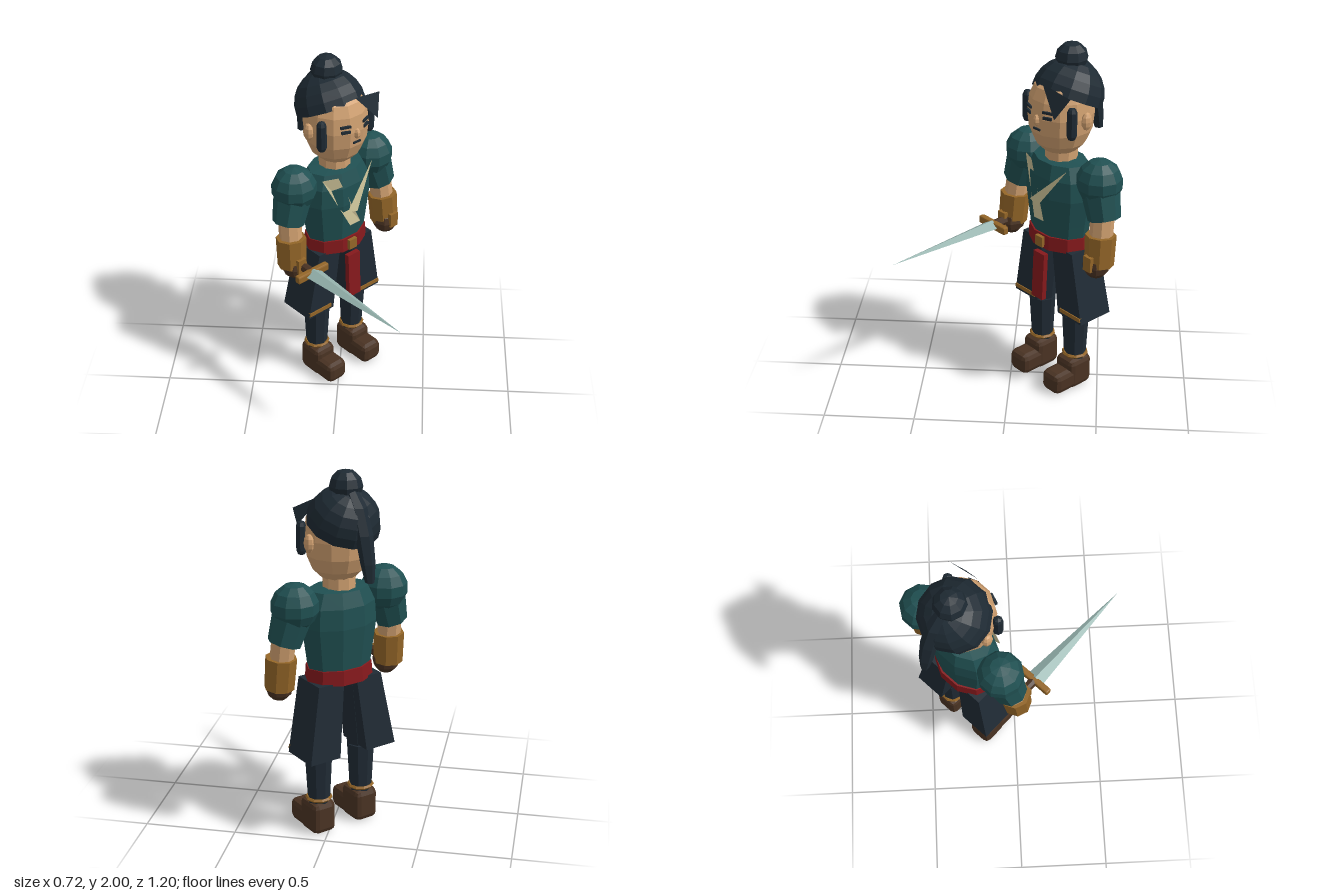
import * as THREE from 'three';
import { RoundedBoxGeometry } from 'three/addons/geometries/RoundedBoxGeometry.js';

const mat = (name, color, side = THREE.FrontSide) => {
  const m = new THREE.MeshStandardMaterial({ color, side });
  m.name = name;
  return m;
};

export function createModel() {
  const teal = mat('teal cloth', 0x205052), navy = mat('navy cloth', 0x202b35), hair = mat('dark hair', 0x1e2a33);
  const skin = mat('skin', 0xd0a070), gold = mat('bronze', 0x946628), brown = mat('brown leather', 0x4a3323);
  const red = mat('red cloth', 0x86191c), steel = mat('blade steel', 0x95b2ad);
  const cream = mat('cream trim', 0xcac096, THREE.DoubleSide);

  const model = new THREE.Group();
  const body = new THREE.Group();
  body.name = 'figure';
  body.position.set(-0.046, 0, -0.279);
  body.rotation.y = Math.PI / 4;
  model.add(body);

  // Faceted mesh at a position
  const add = (name, geo, material, x = 0, y = 0, z = 0) => {
    const g = geo.index ? geo.toNonIndexed() : geo;
    g.computeVertexNormals();
    const mesh = new THREE.Mesh(g, material);
    mesh.name = name;
    mesh.position.set(x, y, z);
    body.add(mesh);
    return mesh;
  };
  const box = (name, m, w, h, d, x, y, z) => add(name, new THREE.BoxGeometry(w, h, d), m, x, y, z);
  const ball = (name, m, r, x, y, z, sx = 1, sy = 1, sz = 1, n = 10, rings = 7) =>
    add(name, new THREE.SphereGeometry(r, n, rings).scale(sx, sy, sz), m, x, y, z);

  // Tapered cylinder from a (lower end) to b (upper end)
  const limb = (name, m, a, b, ra, rb, n = 8) => {
    const A = new THREE.Vector3(...a), B = new THREE.Vector3(...b);
    const d = B.clone().sub(A);
    const mesh = add(name, new THREE.CylinderGeometry(rb, ra, d.length(), n), m);
    mesh.position.copy(A).addScaledVector(d, 0.5);
    mesh.quaternion.setFromUnitVectors(new THREE.Vector3(0, 1, 0), d.normalize());
    return mesh;
  };

  // Box with different bottom and top rectangles [inner x, outer x, back z, front z], mirrored by s
  const flared = (name, m, s, y0, y1, lo, hi) => {
    const g = new THREE.BoxGeometry(1, 1, 1);
    const p = g.attributes.position;
    for (let i = 0; i < p.count; i++) {
      const r = p.getY(i) < 0 ? lo : hi;
      const outer = p.getX(i) * s > 0;
      p.setXYZ(i, s * r[outer ? 1 : 0], p.getY(i) < 0 ? y0 : y1, r[p.getZ(i) > 0 ? 3 : 2]);
    }
    return add(name, g, m);
  };
  const lathe = (name, m, pts, n, x, y, z, sz = 1) =>
    add(name, new THREE.LatheGeometry(pts.map(p => new THREE.Vector2(...p)), n).rotateY(Math.PI / n).scale(1, 1, sz), m, x, y, z);
  const plate = (name, m, pts) => {
    const v = [];
    for (let i = 1; i < pts.length - 1; i++) v.push(...pts[0], ...pts[i], ...pts[i + 1]);
    const g = new THREE.BufferGeometry();
    g.setAttribute('position', new THREE.Float32BufferAttribute(v, 3));
    return add(name, g, m);
  };

  // Torso, belt and hanging sash
  lathe('tunic', teal, [[0, 0.9], [0.178, 0.9], [0.195, 1.02], [0.218, 1.18], [0.21, 1.29], [0.17, 1.37], [0, 1.385]], 10, 0, 0, 0.02, 0.7);
  lathe('belt', red, [[0, 0.87], [0.196, 0.87], [0.19, 0.95], [0, 0.95]], 10, 0, 0, 0.02, 0.74);
  box('buckle', gold, 0.055, 0.06, 0.03, 0, 0.91, 0.16);
  box('sash', red, 0.085, 0.28, 0.03, 0.005, 0.7, 0.167).rotation.x = -0.04;
  plate('rightLapel', cream, [[-0.175, 1.365, 0.115], [-0.03, 1.05, 0.18], [0.045, 1.05, 0.18], [-0.09, 1.365, 0.15]]);
  plate('leftLapel', cream, [[0.17, 1.375, 0.135], [-0.055, 1.155, 0.19], [0.01, 1.135, 0.195]]);

  // Neck, head and face
  limb('neck', skin, [0, 1.34, 0.015], [0, 1.48, 0.015], 0.09, 0.087, 10);
  lathe('head', skin, [[0, 1.42], [0.09, 1.427], [0.138, 1.475], [0.169, 1.55], [0.178, 1.64], [0.168, 1.73], [0.142, 1.79], [0.085, 1.835], [0, 1.85]], 12, 0, 0, 0.025);
  ball('nose', skin, 0.022, 0, 1.63, 0.195, 0.9, 1.4, 1, 6, 5);
  box('mouth', hair, 0.05, 0.01, 0.01, 0, 1.58, 0.195);
  for (const s of [-1, 1]) {
    const brow = box('brow', hair, 0.058, 0.013, 0.012, s * 0.07, 1.686, 0.185);
    const eye = box('eye', hair, 0.05, 0.015, 0.012, s * 0.07, 1.656, 0.187);
    brow.rotation.y = eye.rotation.y = s * 0.35;
    ball('ear', skin, 0.05, s * 0.183, 1.63, 0.015, 0.5, 1, 0.65, 8, 6);
    add('sideLock', new THREE.CapsuleGeometry(0.027, 0.13, 2, 8), hair, s * 0.17, 1.635, 0.107);
  }

  // Hair cap tilted back, bun, fringe and ponytail
  const cap = [[0, -0.015]];
  for (let i = 0; i <= 6; i++) {
    const a = -0.08 + (Math.PI / 2 + 0.08) * i / 6;
    cap.push([0.194 * Math.cos(a), 0.194 * Math.sin(a)]);
  }
  lathe('hairCap', hair, cap, 12, 0, 1.72, -0.02).rotation.x = -0.45;
  ball('bun', hair, 0.088, 0, 1.915, -0.045, 1, 0.97, 1, 9, 6);
  const fringe = new THREE.Group();
  const tri = [[0.01, 1.825, 0.168], [0.14, 1.675, 0.205], [0.2, 1.79, 0.15]];
  const back = tri.map(([x, y, z]) => [x - 0.002, y, z - 0.009]);
  fringe.add(plate('fringeFront', hair, tri), plate('fringeBack', hair, back.reverse()));
  fringe.name = 'fringe';
  body.add(fringe);
  const tail = new THREE.CylinderGeometry(1, 1, 1, 6, 4);
  const rings = [[1.465, -0.258, 0.024], [1.56, -0.24, 0.038], [1.7, -0.205, 0.046], [1.83, -0.155, 0.044], [1.92, -0.08, 0.03]];
  const tp = tail.attributes.position;
  for (let i = 0; i < tp.count; i++) {
    const [y, z, r] = rings[Math.round((tp.getY(i) + 0.5) * 4)];
    tp.setXYZ(i, tp.getX(i) * r, y, z + tp.getZ(i) * r);
  }
  add('ponytail', tail, hair);

  for (const s of [-1, 1]) {
    // Arms
    ball('shoulderPuff', teal, 0.126, s * 0.279, 1.318, 0.003, 1, 1, 1, 10, 7);
    limb('sleeve', teal, [s * 0.338, 1.125, 0.018], [s * 0.285, 1.3, 0.005], 0.088, 0.108);
    limb('forearm', skin, [s * 0.343, 0.98, 0.045], [s * 0.333, 1.16, 0.025], 0.064, 0.064);
    limb('bracer', gold, [s * 0.348, 0.87, 0.055], [s * 0.341, 1.042, 0.042], 0.08, 0.084);
    ball('glove', brown, 0.077, s * 0.342, 0.873, 0.068, 0.95, 1, 1, 8, 6);
    box('handPlate', gold, 0.055, 0.085, 0.03, s * 0.345, 0.9, 0.13);
    // Coat skirts with a bronze hem
    flared('coatSkirt', navy, s, 0.465, 0.88, [0.085, 0.27, -0.122, 0.1], [0.04, 0.195, -0.09, 0.11]);
    flared('skirtHem', gold, s, 0.482, 0.505, [0.105, 0.266, 0.09, 0.107], [0.105, 0.263, 0.09, 0.107]);
    // Legs and boots
    limb('thigh', navy, [s * 0.137, 0.462, 0.013], [s * 0.1, 0.88, 0.015], 0.076, 0.085);
    limb('shin', navy, [s * 0.137, 0.16, 0.01], [s * 0.137, 0.45, 0.013], 0.06, 0.075);
    add('anklet', new THREE.TorusGeometry(0.064, 0.011, 5, 10).rotateX(Math.PI / 2), gold, s * 0.137, 0.197, 0.011);
    add('boot', new RoundedBoxGeometry(0.14, 0.182, 0.16, 1, 0.03), brown, s * 0.137, 0.091, 0.02);
    add('bootToe', new RoundedBoxGeometry(0.135, 0.125, 0.17, 1, 0.032), brown, s * 0.137, 0.0645, 0.122);
  }

  // Sword held forward in the right hand
  limb('swordGrip', brown, [-0.335, 0.89, 0.03], [-0.335, 0.89, 0.2], 0.026, 0.026, 8);
  add('swordGuard', new RoundedBoxGeometry(0.215, 0.045, 0.036, 1, 0.008), gold, -0.335, 0.89, 0.21);
  add('swordBlade', new THREE.ConeGeometry(1, 0.69, 4).scale(0.052, 1, 0.03).rotateX(Math.PI / 2), steel, -0.335, 0.89, 0.563);

  return model;
}
